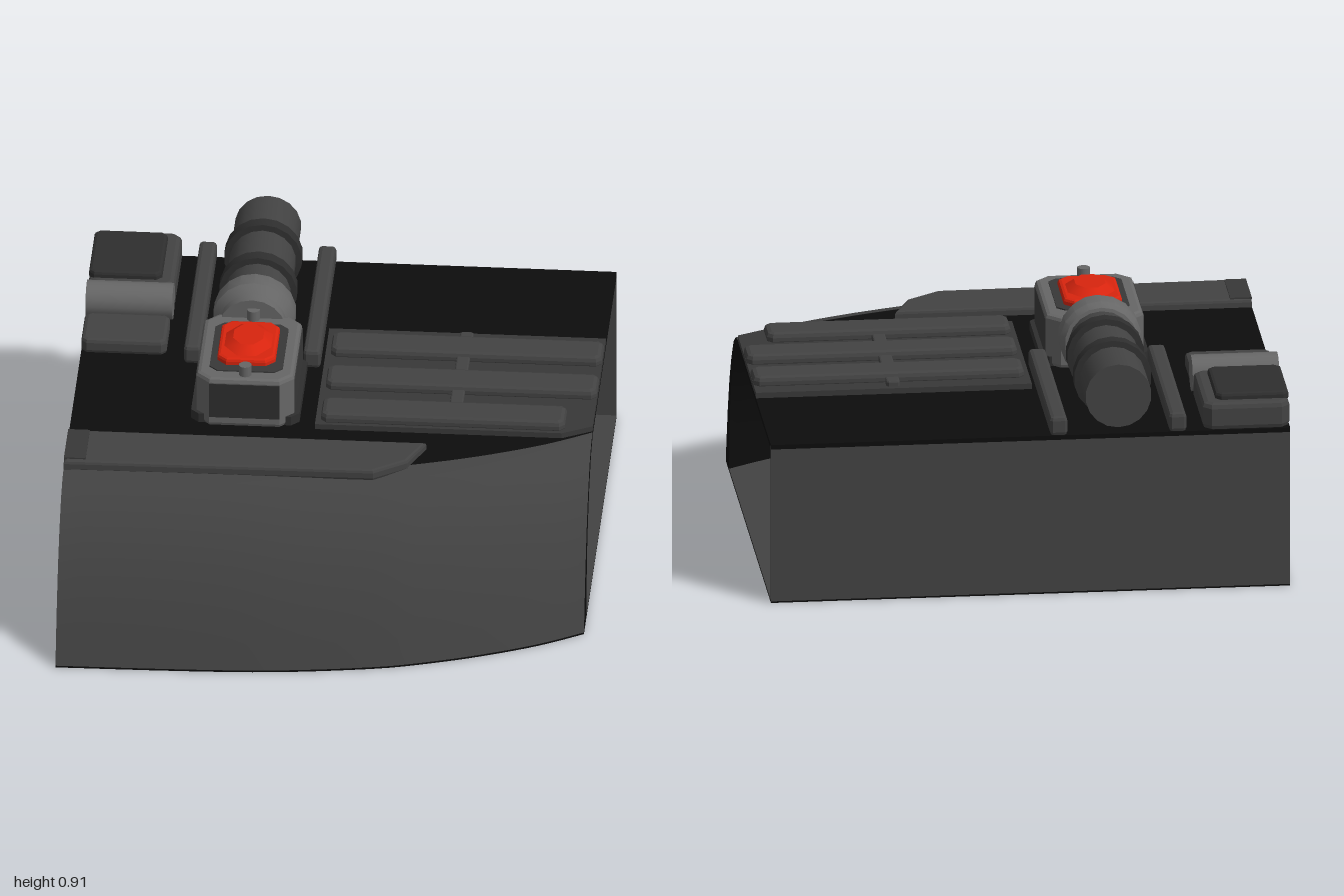
import * as THREE from 'three';
import { toCreasedNormals } from 'three/addons/utils/BufferGeometryUtils.js';

const paint = (name, color, side = THREE.FrontSide) => {
  const m = new THREE.MeshStandardMaterial({ color, side });
  m.name = name;
  return m;
};

export function createModel() {
  const model = new THREE.Group();
  const grey = paint('bodyGrey', 0x424242, THREE.DoubleSide);
  const black = paint('deckBlack', 0x0d0d0d, THREE.DoubleSide);
  const dark = paint('darkGrey', 0x2e2e2e);
  const panelGrey = paint('panelGrey', 0x383838);
  const light = paint('lightGrey', 0x666666);
  const red = paint('lampRed', 0xd8240e);

  const add = (name, geometry, material, parent = model) => {
    const mesh = new THREE.Mesh(geometry, material);
    mesh.name = name;
    parent.add(mesh);
    return mesh;
  };

  // Horizontal slab from an [x, z] outline, with a bevel b on its edges
  const slab = (name, outline, y0, y1, material, b = 0) => {
    const shape = new THREE.Shape(outline.map(([x, z]) => new THREE.Vector2(x, -z)));
    const g = new THREE.ExtrudeGeometry(shape, {
      depth: y1 - y0 - 2 * b, bevelEnabled: b > 0, bevelSize: b,
      bevelThickness: b, bevelOffset: -b, bevelSegments: 2,
    });
    g.translate(0, 0, b).rotateX(-Math.PI / 2).translate(0, y0, 0);
    return add(name, g, material);
  };
  // Rectangle outline with corners cut by c
  const rect = (x0, x1, z0, z1, c = 0) => c === 0
    ? [[x0, z0], [x1, z0], [x1, z1], [x0, z1]]
    : [[x0 + c, z0], [x1 - c, z0], [x1, z0 + c], [x1, z1 - c],
      [x1 - c, z1], [x0 + c, z1], [x0, z1 - c], [x0, z0 + c]];

  // Foot of the bowed nose in plan, and its curved section as [setback, y]
  const W = 0.96;
  const foot = new THREE.SplineCurve([
    [-0.96, 1], [-0.5, 0.993], [-0.15, 0.975], [0.2, 0.925],
    [0.4, 0.872], [0.6, 0.8], [0.8, 0.708], [0.96, 0.61],
  ].map(p => new THREE.Vector2(...p))).getPoints(28);
  const outer = [[0, 0], [0.03, 0.1], [0.07, 0.22], [0.13, 0.36], [0.2, 0.47],
    [0.28, 0.56], [0.35, 0.6], [0.42, 0.615]];
  const inner = [[0.12, 0], [0.13, 0.12], [0.15, 0.25], [0.2, 0.37], [0.27, 0.48],
    [0.35, 0.56], [0.44, 0.6]];

  // Skin swept along the foot curve
  const skin = (section) => {
    const pos = [], index = [], n = section.length;
    foot.forEach((p, i) => {
      for (const [d, y] of section) pos.push(p.x, y, p.y - d);
      if (i === 0) return;
      for (let j = 0; j < n - 1; j++) {
        const a = (i - 1) * n + j, b = a + n;
        index.push(a, b, b + 1, a, b + 1, a + 1);
      }
    });
    const g = new THREE.BufferGeometry();
    g.setAttribute('position', new THREE.Float32BufferAttribute(pos, 3));
    g.setIndex(index);
    g.computeVertexNormals();
    return g;
  };
  add('noseSkin', skin(outer), grey);
  add('noseLining', skin(inner), black);

  // Cut ends of the nose
  for (const [x, z] of [[-W, 1], [W, 0.61]]) {
    const edge = [...outer, ...[...inner].reverse()];
    const shape = new THREE.Shape(edge.map(([d, y]) => new THREE.Vector2(d - z, y)));
    const g = new THREE.ShapeGeometry(shape).rotateY(Math.PI / 2);
    add('noseEnd', g.translate(x, 0, 0), black);
  }

  // Deck, floor and back wall, open on both sides
  const plan = (setback) => [[-W, -1], ...foot.map(p => [p.x, p.y - setback]), [W, -1]];
  slab('deck', plan(0.42), 0.597, 0.614, black);
  slab('floorUnderside', plan(0), 0, 0.006, black);
  slab('floorTop', plan(0.02), 0.006, 0.01, grey);
  add('backWall', new THREE.BoxGeometry(2 * W, 0.61, 0.008), grey).position.set(0, 0.305, -0.996);

  // Flat strip along the top of the nose
  slab('noseStrip', [[-W, 0.36], [0.36, 0.36], [0.3, 0.5], [0.18, 0.585], [-W, 0.6]],
    0.6, 0.645, grey, 0.012);
  slab('noseStripEnd', rect(-W, -0.88, 0.37, 0.58), 0.64, 0.65, panelGrey);

  // Ribbed panel
  slab('ribPanel', [[-0.06, -0.47], [W, -0.47], [W, 0.18], [0.85, 0.24], [-0.06, 0.24]],
    0.61, 0.635, panelGrey);
  [[-0.33, W], [-0.085, W], [0.155, 0.86]].forEach(([z, x1]) =>
    slab('rib', rect(-0.04, x1, z - 0.07, z + 0.07, 0.02), 0.62, 0.67, grey, 0.018));
  slab('ribLink', rect(0.425, 0.475, -0.45, 0.1, 0.008), 0.62, 0.655, grey, 0.006);

  // Rails either side of the pipe
  for (const x of [-0.545, -0.105]) {
    slab('rail', rect(x - 0.032, x + 0.032, -1, -0.21, 0.01), 0.61, 0.684, grey, 0.015);
  }

  // Pipe with bands and a collar, lying along z
  const pipe = new THREE.Group();
  pipe.name = 'pipe';
  pipe.position.set(-0.325, 0.76, 0);
  model.add(pipe);
  const turned = (name, profile, material) => {
    const g = new THREE.LatheGeometry(profile.map(([r, z]) => new THREE.Vector2(r, z)), 18);
    add(name, toCreasedNormals(g.rotateX(Math.PI / 2), 0.6), material, pipe);
  };
  turned('pipeBody', [[0, -1], [0.122, -1], [0.122, -0.38], [0, -0.38]], grey);
  for (const z of [-0.77, -0.525]) {
    turned('pipeBand', [[0.11, z - 0.03], [0.144, z - 0.025], [0.144, z + 0.025], [0.11, z + 0.03]], dark);
  }
  turned('pipeCollar', [[0.11, -0.4], [0.135, -0.395], [0.152, -0.37], [0.152, -0.3],
    [0.125, -0.265], [0.125, -0.22], [0, -0.22]], light);

  // Lamp housing with side plates
  slab('lampHousing', rect(-0.5, -0.14, -0.25, 0.24, 0.05), 0.61, 0.81, light, 0.016);
  slab('lampFoot', rect(-0.52, -0.12, -0.22, 0.22, 0.03), 0.61, 0.65, dark);
  const front = add('housingFrontPlate', new THREE.BoxGeometry(0.26, 0.14, 0.006), dark);
  front.position.set(-0.32, 0.72, 0.24);
  for (const x of [-0.5, -0.14]) {
    add('housingSidePlate', new THREE.BoxGeometry(0.006, 0.14, 0.38), panelGrey).position.set(x, 0.72, -0.005);
  }
  slab('lampBed', rect(-0.455, -0.185, -0.17, 0.18, 0.03), 0.808, 0.815, panelGrey);

  // Screw heads and red lens
  for (const z of [-0.215, 0.195]) {
    add('screw', new THREE.CylinderGeometry(0.024, 0.024, 0.05, 10), light).position.set(-0.32, 0.825, z);
  }
  slab('lampLens', rect(-0.43, -0.215, -0.15, 0.14, 0.035), 0.8, 0.84, red, 0.012);
  const crown = new THREE.CylinderGeometry(0.6, 1, 1, 8).rotateY(Math.PI / 8);
  crown.scale(0.1, 0.03, 0.135);
  add('lensCrown', crown, red).position.set(-0.322, 0.85, -0.005);

  // Cushioned unit in the back corner
  slab('cornerBase', rect(-W, -0.645, -0.47, -0.26, 0.02), 0.61, 0.67, grey, 0.015);
  slab('cornerPad', rect(-W, -0.64, -1, -0.6, 0.03), 0.61, 0.715, grey, 0.02);
  slab('cornerPadInset', rect(-W, -0.69, -0.955, -0.64, 0.02), 0.7, 0.74, dark, 0.012);
  const roll = new THREE.CylinderGeometry(0.068, 0.068, 0.32, 16).rotateZ(Math.PI / 2);
  add('cornerRoll', roll, light).position.set(-0.8, 0.682, -0.545);

  return model;
}
